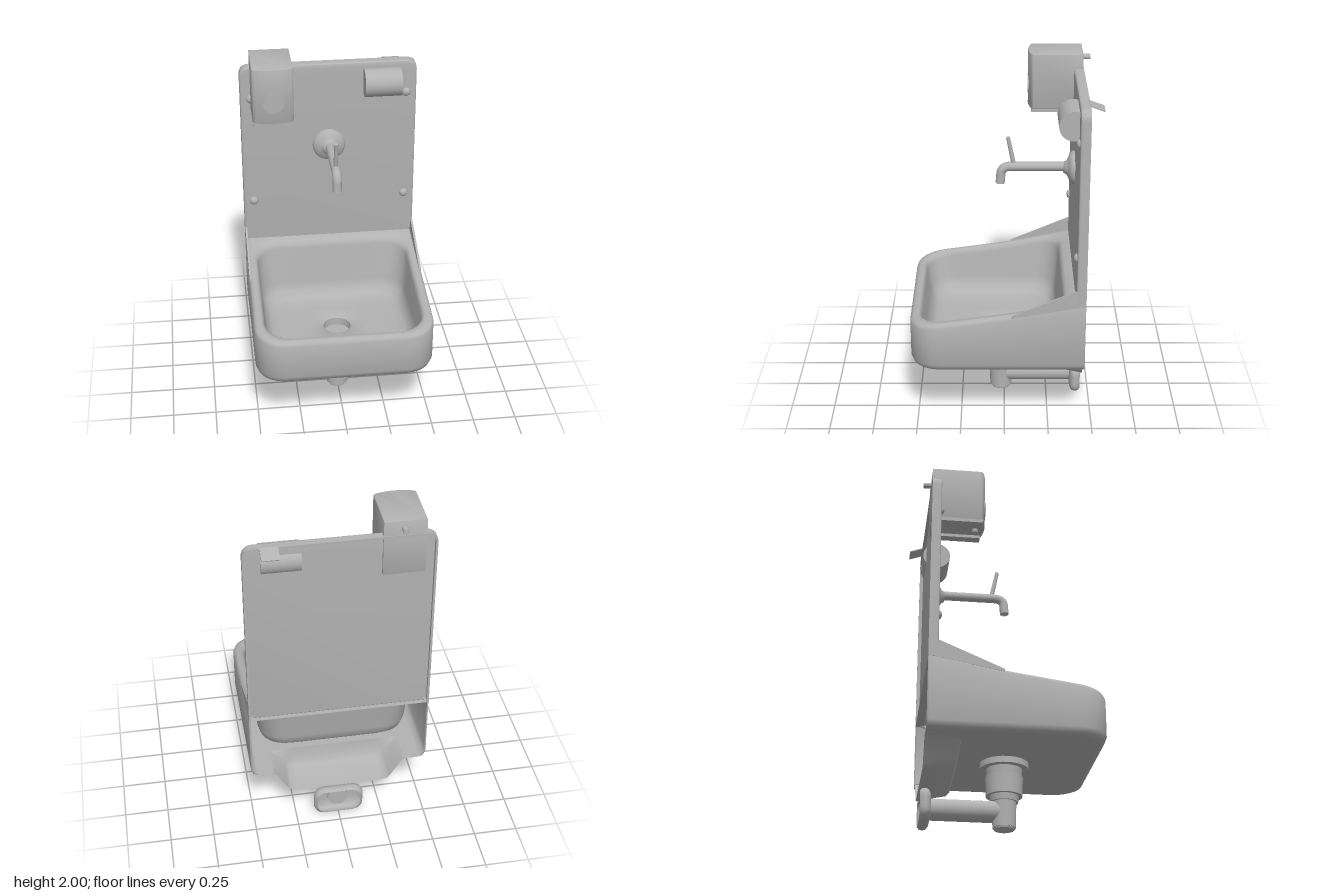
import * as THREE from 'three';
import { toCreasedNormals } from 'three/addons/utils/BufferGeometryUtils.js';

const steel = new THREE.MeshStandardMaterial({ color: 0xb2b2b2, side: THREE.DoubleSide });
steel.name = 'steel';

export function createModel() {
  const model = new THREE.Group();
  const add = (name, geo, x = 0, y = 0, z = 0) => {
    const m = new THREE.Mesh(geo, steel);
    m.name = name;
    m.position.set(x, y, z);
    model.add(m);
    return m;
  };
  const V = (x, y, z) => new THREE.Vector3(x, y, z);

  // Surface through rows of points; skip(row, column) leaves faces out
  const loft = (rows, closed, skip = () => false) => {
    const n = rows[0].length, index = [];
    for (let i = 0; i < rows.length - 1; i++)
      for (let j = 0; j < (closed ? n : n - 1); j++) {
        if (skip(i, j)) continue;
        const k = (j + 1) % n, a = i * n, b = a + n;
        index.push(a + j, b + j, a + k, a + k, b + j, b + k);
      }
    const g = new THREE.BufferGeometry().setFromPoints(rows.flat());
    g.setIndex(index);
    return toCreasedNormals(g, 0.85);
  };

  // Rounded rectangle in plan: half width, front z, back z, two corner radii
  const ARC = 8, MID = 6, SIDE = ARC + MID;
  const ring = (w, zf, zb, rf, rb, height) => {
    const pts = [];
    const centres = [[w - rf, zf - rf, rf], [-w + rf, zf - rf, rf], [-w + rb, zb + rb, rb], [w - rb, zb + rb, rb]];
    const at = (c, t) => V(c[0] + c[2] * Math.cos(t), 0, c[1] + c[2] * Math.sin(t));
    centres.forEach((c, k) => {
      for (let i = 0; i <= ARC; i++) pts.push(at(c, (k + i / ARC) * Math.PI / 2));
      const from = pts[pts.length - 1], to = at(centres[(k + 1) % 4], (k + 1) * Math.PI / 2);
      for (let i = 1; i < MID; i++) pts.push(from.clone().lerp(to, i / MID));
    });
    pts.forEach(p => { p.y = typeof height === 'number' ? height : height(p.z); });
    return pts;
  };

  // Basin: skirt open at the back, rim rising to the wall, bowl down to the drain
  const rimHeight = z => z > -0.04 ? 0.73 - 0.08 * (z + 0.04) / 0.57 : 0.73 + 0.2 * (-0.04 - z);
  const rim = d => z => rimHeight(z) - d;
  const drainZ = 0.01;
  const basin = [
    ring(0.475, 0.495, -0.45, 0.14, 0.01, 0.38),
    ring(0.498, 0.518, -0.45, 0.155, 0.01, 0.39),
    ring(0.51, 0.53, -0.45, 0.165, 0.01, 0.42),
    ring(0.51, 0.53, -0.45, 0.165, 0.01, rim(0.025)),
    ring(0.503, 0.523, -0.445, 0.16, 0.01, rim(0.007)),
    ring(0.488, 0.508, -0.425, 0.155, 0.02, rim(0)),
    ring(0.465, 0.485, -0.35, 0.15, 0.12, rim(0)),
    ring(0.453, 0.473, -0.335, 0.15, 0.13, rim(0.012)),
    ring(0.447, 0.466, -0.328, 0.15, 0.13, rim(0.035)),
    ring(0.435, 0.45, -0.31, 0.15, 0.14, 0.52),
    ring(0.42, 0.43, -0.295, 0.15, 0.14, 0.465),
    ring(0.39, 0.4, -0.265, 0.15, 0.14, 0.435),
    ring(0.34, 0.35, -0.22, 0.15, 0.14, 0.423),
    ring(0.2, 0.21, -0.16, 0.15, 0.15, 0.418),
    ring(0.1, drainZ + 0.1, drainZ - 0.1, 0.1, 0.1, 0.413),
    ring(0.08, drainZ + 0.08, drainZ - 0.08, 0.08, 0.08, 0.4),
    ring(0.078, drainZ + 0.078, drainZ - 0.078, 0.078, 0.078, 0.345),
  ];
  const backStart = 2 * SIDE + ARC, backEnd = 3 * SIDE;
  add('basin', loft(basin, true, (i, j) => i < 5 && j >= backStart && j < backEnd));

  // Underside, notched at the back above the trough
  const under = new THREE.Shape();
  const edge = basin[0];
  edge.slice(backEnd).concat(edge.slice(0, backStart + 1))
    .forEach((p, i) => i ? under.lineTo(p.x, p.z) : under.moveTo(p.x, p.z));
  [[-0.38, -0.45], [-0.38, -0.25], [0.38, -0.25], [0.38, -0.45]].forEach(p => under.lineTo(...p));
  under.holes.push(new THREE.Path().absarc(0, drainZ, 0.078, 0, Math.PI * 2));
  add('underside', new THREE.ShapeGeometry(under).rotateX(Math.PI / 2), 0, 0.38, 0);

  // Triangular side wings rising from the rim to the wall panel
  const wing = new THREE.Shape();
  wing.moveTo(0.04, 0.715).lineTo(0.42, 0.785).lineTo(0.42, 0.885).lineTo(0.39, 0.88).lineTo(0.04, 0.73);
  for (const x of [-0.509, 0.497])
    add('sideWing', new THREE.ExtrudeGeometry(wing, { depth: 0.012, bevelEnabled: false })
      .rotateY(Math.PI / 2), x, 0, 0);

  // Trough under the back, open to the wall
  const troughRow = (z, w, b, flat) => {
    const half = [[w, 0.38], [w - 0.025, 0.365], [w - 0.09, b + 0.025], [w - 0.105, b + 0.008], [w - 0.14, b]];
    const pts = half.map(([x, y]) => V(-x, flat ? 0.38 : y, z));
    return pts.concat(half.reverse().map(([x, y]) => V(x, flat ? 0.38 : y, z)));
  };
  add('trough', loft([troughRow(-0.45, 0.39, 0.235), troughRow(-0.28, 0.38, 0.268),
    troughRow(-0.262, 0.37, 0.285), troughRow(-0.25, 0.36, 0.3, true)], false));

  // Wall panel with rounded top corners and a shallow flange round its back
  const outline = (path, w, bottom, top, r) => path.moveTo(-w, bottom).lineTo(w, bottom).lineTo(w, top - r)
    .quadraticCurveTo(w, top, w - r, top).lineTo(-w + r, top)
    .quadraticCurveTo(-w, top, -w, top - r).lineTo(-w, bottom);
  const panel = outline(new THREE.Shape(), 0.497, 0.8, 1.902, 0.05);
  add('wallPanel', toCreasedNormals(new THREE.ExtrudeGeometry(panel, {
    depth: 0.011, bevelThickness: 0.012, bevelSize: 0.013, bevelSegments: 4, curveSegments: 8,
  }), 0.6), 0, 0, -0.418);
  const flange = outline(new THREE.Shape(), 0.51, 0.787, 1.915, 0.06);
  flange.holes.push(outline(new THREE.Path(), 0.498, 0.788, 1.903, 0.05));
  add('panelFlange', toCreasedNormals(new THREE.ExtrudeGeometry(flange, {
    depth: 0.035, bevelEnabled: false, curveSegments: 8,
  }), 0.6), 0, 0, -0.45);

  // Fixing bolts
  for (const x of [-0.45, 0.45])
    for (const y of [1.06, 1.72])
      add('bolt', new THREE.SphereGeometry(0.026, 16, 10), x, y, -0.396).scale.z = 0.75;

  // Roll holder sunk through the panel, with a sloping tab behind
  add('rollHolder', new THREE.CylinderGeometry(0.082, 0.082, 0.212, 32).rotateZ(Math.PI / 2), 0.307, 1.8, -0.368);
  add('rearTab', new THREE.BoxGeometry(0.095, 0.006, 0.085), 0.37, 1.9, -0.485).rotation.x = -0.35;

  // Soap dispenser with a bowed front, button, feet and rear peg
  const soap = new THREE.Shape();
  soap.moveTo(-0.45, 0.446).lineTo(-0.222, 0.446).lineTo(-0.222, 0.165)
    .quadraticCurveTo(-0.225, 0.155, -0.25, 0.148).quadraticCurveTo(-0.335, 0.125, -0.425, 0.148)
    .quadraticCurveTo(-0.45, 0.155, -0.452, 0.17).lineTo(-0.45, 0.446);
  const soapGeo = new THREE.ExtrudeGeometry(soap, {
    depth: 0.31, bevelThickness: 0.006, bevelSize: 0.005, bevelOffset: -0.005, bevelSegments: 2, curveSegments: 10,
  });
  add('dispenser', toCreasedNormals(soapGeo.rotateX(-Math.PI / 2), 0.5), 0, 1.684, 0);
  add('dispenserButton', new THREE.CylinderGeometry(0.058, 0.058, 0.012, 32).rotateX(Math.PI / 2), -0.335, 1.8, -0.14);
  for (const x of [-0.425, -0.25]) add('dispenserFoot', new THREE.BoxGeometry(0.05, 0.022, 0.27), x, 1.671, -0.29);
  add('dispenserSpout', new THREE.CylinderGeometry(0.02, 0.016, 0.03, 16), -0.335, 1.673, -0.19);
  add('rearPeg', new THREE.CylinderGeometry(0.016, 0.016, 0.06, 16).rotateX(Math.PI / 2), -0.33, 1.957, -0.46);

  // Tap: wall rose, bent spout and lever
  const rose = [[0.096, 0], [0.096, 0.018], [0.085, 0.036], [0.06, 0.044], [0.04, 0.055], [0.03, 0.072], [0, 0.075]];
  add('tapRose', new THREE.LatheGeometry(rose.map(p => new THREE.Vector2(...p)), 32).rotateX(Math.PI / 2), 0, 1.41, -0.405);
  const spout = new THREE.CurvePath();
  spout.add(new THREE.LineCurve3(V(0, 1.417, -0.36), V(0, 1.417, -0.04)));
  spout.add(new THREE.QuadraticBezierCurve3(V(0, 1.417, -0.04), V(0, 1.417, 0.012), V(0, 1.38, 0.018)));
  spout.add(new THREE.LineCurve3(V(0, 1.38, 0.018), V(0, 1.318, 0.023)));
  add('tapSpout', new THREE.TubeGeometry(spout, 48, 0.026, 16));
  add('tapOutlet', new THREE.CircleGeometry(0.026, 16).rotateX(Math.PI / 2), 0, 1.322, 0.023);
  add('tapLever', new THREE.CylinderGeometry(0.011, 0.013, 0.16, 12), 0, 1.512, -0.037).rotation.x = 0.2;

  // Drain: sunken grate, collar, stacked fittings, waste pipe and wall flange
  add('drainGrate', new THREE.CylinderGeometry(0.078, 0.078, 0.01, 32), 0, 0.349, drainZ);
  const collar = [[0.1, 0.345], [0.137, 0.345], [0.137, 0.385], [0.1, 0.385]];
  add('drainCollar', toCreasedNormals(new THREE.LatheGeometry(collar.map(p => new THREE.Vector2(...p)), 32), 0.5), 0, 0, 0.02);
  const stack = [
    ['drainNeck', 0.102, 0.295, 0.346], ['drainNut', 0.105, 0.19, 0.3],
    ['drainRing', 0.082, 0.155, 0.19], ['drainPipe', 0.068, 0.01, 0.16], ['drainCap', 0.06, 0, 0.012],
  ];
  for (const [name, radius, y0, y1] of stack)
    add(name, new THREE.CylinderGeometry(radius, radius - 0.004, y1 - y0, 32), 0, (y0 + y1) / 2, 0.02);
  add('wastePipe', new THREE.CylinderGeometry(0.06, 0.06, 0.43, 28).rotateX(Math.PI / 2), 0, 0.1, -0.195);
  const plate = (z, k) => ring(0.146 * k, 0.09 * k, -0.09 * k, 0.06 * k, 0.06 * k, 0).map(p => V(p.x, 0.1 + p.z, z));
  add('wallFlange', loft([plate(-0.45, 0.86), plate(-0.438, 0.97), plate(-0.42, 1), plate(-0.402, 0.95),
    plate(-0.39, 0.78), plate(-0.386, 0.01)], true));

  return model;
}
